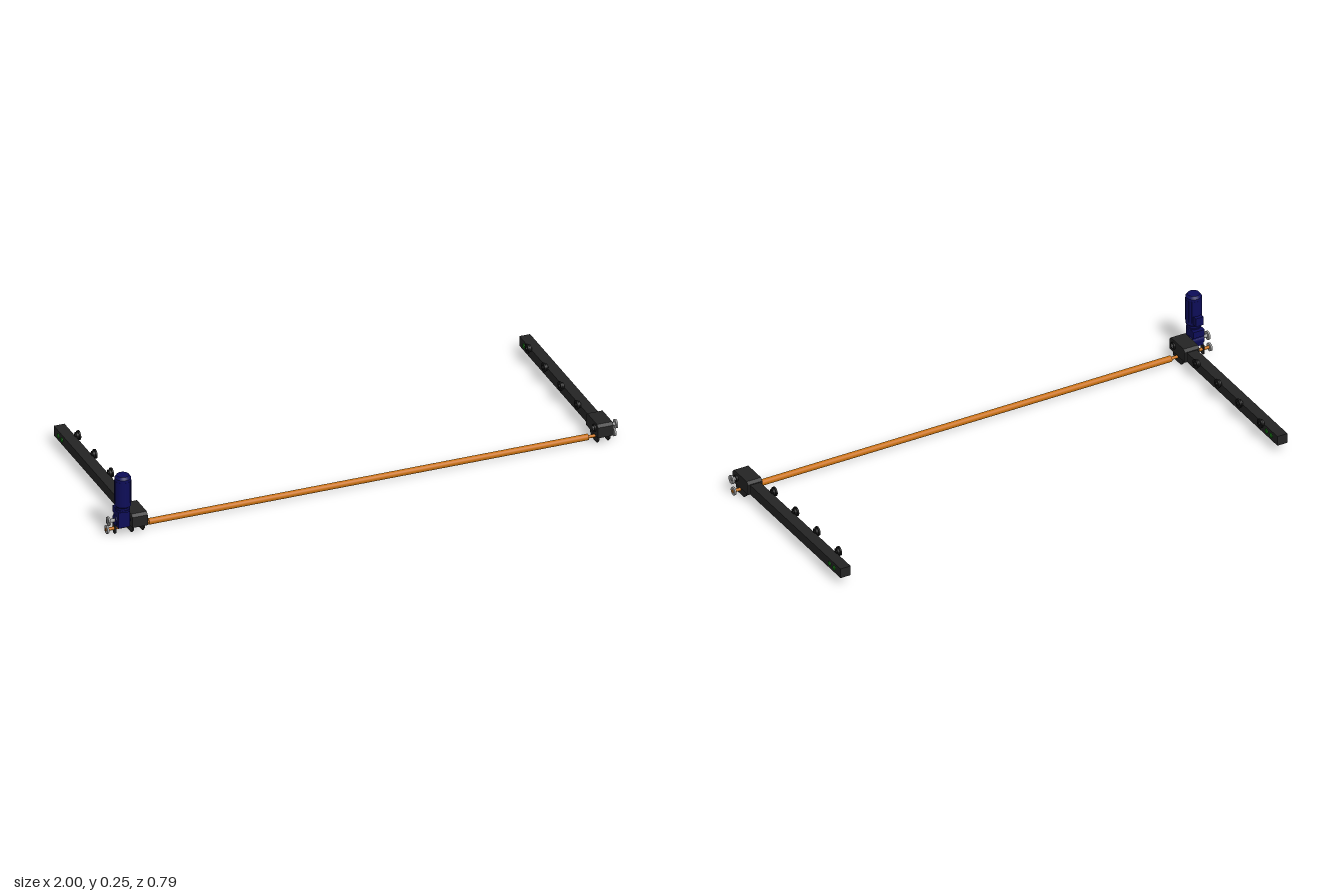
import * as THREE from 'three';

const paint = (color) => new THREE.MeshStandardMaterial({ color });
const dark = paint(0x242424), black = paint(0x141414), navy = paint(0x0d0d58);
const orange = paint(0xc8700f), green = paint(0x0f7d0f), steel = paint(0x999999);

function add(parent, name, geometry, material, x, y, z) {
  const mesh = new THREE.Mesh(geometry, material);
  mesh.name = name;
  mesh.position.set(x, y, z);
  parent.add(mesh);
  return mesh;
}

const box = (parent, name, mat, w, h, d, x, y, z) =>
  add(parent, name, new THREE.BoxGeometry(w, h, d), mat, x, y, z);

// Cylinder along x from x0 to x1
function rod(parent, name, mat, r, x0, x1, y, z, sides = 32) {
  const g = new THREE.CylinderGeometry(r, r, Math.abs(x1 - x0), sides).rotateZ(Math.PI / 2);
  return add(parent, name, g, mat, (x0 + x1) / 2, y, z);
}

// Plate drawn as [z, y] corners, extruded along x from x0 to x1
function plate(parent, name, mat, corners, x0, x1) {
  const shape = new THREE.Shape(corners.map(([z, y]) => new THREE.Vector2(-z, y)));
  const g = new THREE.ExtrudeGeometry(shape, { depth: x1 - x0, bevelEnabled: false });
  return add(parent, name, g.rotateY(Math.PI / 2), mat, x0, 0, 0);
}

const ROD_Y = 0.021, ROD_Z = 0.334, AXLE_Y = 0.062, AXLE_Z = 0.349;
const housing = [[0.267, 0.033], [0.267, 0.075], [0.277, 0.085], [0.37, 0.085],
  [0.38, 0.075], [0.38, 0.033]];
const hanger = [[0.29, 0.036], [0.29, 0.016], [0.307, 0.001], [0.352, 0.001],
  [0.366, 0.015], [0.366, 0.036]];

// One side arm; s points to its outer side, reach is how far the shafts stick out
function arm(name, cx, s, reach) {
  const g = new THREE.Group();
  g.name = name;
  g.position.x = cx;

  box(g, 'rail', dark, 0.042, 0.039, 0.67, 0, 0.0525, -0.058);

  // End housing with side cheeks and hanger plates for the rod
  plate(g, 'endHousing', dark, housing, -0.024, 0.024);
  for (const x of [-0.03, 0.024]) plate(g, 'housingCheek', dark, housing, x, x + 0.006);
  for (const x of [-0.024, 0.019]) plate(g, 'hangerPlate', dark, hanger, x, x + 0.005);

  // Guide rollers on the inner face
  for (const z of [0.183, 0.026, -0.13, -0.287]) {
    rod(g, 'rollerPin', black, 0.007, -s * 0.018, -s * 0.04, 0.075, z, 16);
    rod(g, 'rollerHub', black, 0.013, -s * 0.021, -s * 0.032, 0.075, z, 24);
    rod(g, 'rollerRim', black, 0.018, -s * 0.03, -s * 0.036, 0.075, z);
  }

  // Green buttons through the rear of the rail
  for (const z of [-0.314, -0.348]) rod(g, 'button', green, 0.009, -0.0235, 0.0235, 0.053, z);

  // Drive axle with end washer
  rod(g, 'driveAxle', steel, 0.007, -s * 0.036, s * reach, AXLE_Y, AXLE_Z);
  rod(g, 'axleWasher', steel, 0.017, s * (reach - 0.009), s * (reach - 0.002), AXLE_Y, AXLE_Z);
  rod(g, 'axleCap', black, 0.007, s * (reach - 0.003), s * reach, AXLE_Y, AXLE_Z);
  rod(g, 'axleCollar', black, 0.014, -s * 0.036, -s * 0.029, AXLE_Y, AXLE_Z);
  rod(g, 'outerCollar', black, 0.012, s * 0.029, s * 0.038, AXLE_Y, AXLE_Z);

  // Thin end of the cross rod with its washer
  rod(g, 'rodJournal', orange, 0.006, -s * 0.06, s * reach, ROD_Y, ROD_Z);
  rod(g, 'rodWasher', steel, 0.016, s * (reach - 0.009), s * (reach - 0.002), ROD_Y, ROD_Z);
  return g;
}

// Upright gear motor
function gearMotor() {
  const g = new THREE.Group();
  g.name = 'gearMotor';
  g.position.set(-0.944, 0, 0.363);
  const profile = [[0, 0.108], [0.024, 0.108], [0.024, 0.122], [0.03, 0.128], [0.03, 0.24],
    [0.023, 0.25], [0, 0.25]].map(([r, y]) => new THREE.Vector2(r, y));
  // Points are doubled so each band of the turned body keeps crisp edges
  const crisp = profile.flatMap((p, i) => (i ? [p.clone(), p.clone()] : [p]));
  for (let i = 0; i < crisp.length - 1; i += 2) {
    add(g, 'motorBody', new THREE.LatheGeometry([crisp[i], crisp[i + 1]], 32), navy, 0, 0, 0);
  }
  // Shallow cooling ribs
  for (let i = 0; i < 16; i++) {
    const a = (i / 16) * Math.PI * 2;
    const rib = box(g, 'coolingRib', navy, 0.003, 0.09, 0.003,
      Math.sin(a) * 0.0295, 0.185, Math.cos(a) * 0.0295);
    rib.rotation.y = a;
  }
  box(g, 'terminalBox', navy, 0.032, 0.034, 0.02, 0, 0.151, -0.034);
  add(g, 'mountFlange', new THREE.CylinderGeometry(0.027, 0.027, 0.008, 32), navy, 0, 0.11, 0);
  box(g, 'gearboxTop', navy, 0.046, 0.026, 0.056, 0, 0.097, -0.013);
  box(g, 'gearbox', navy, 0.046, 0.048, 0.046, 0, 0.064, -0.008);
  rod(g, 'gearboxBoss', navy, 0.02, -0.027, 0.027, AXLE_Y, AXLE_Z - 0.363);
  return g;
}

export function createModel() {
  const model = new THREE.Group();
  model.name = 'sideArmsWithCrossRod';
  model.add(arm('rightArm', -0.883, -1, 0.117));
  model.add(arm('leftArm', 0.943, 1, 0.057));
  model.add(gearMotor());

  // Long cross rod joining the arms
  rod(model, 'crossRod', orange, 0.012, -0.832, 0.892, ROD_Y, ROD_Z);
  plate(model, 'rodSupport', dark, [[0.322, 0.042], [0.322, 0.006], [0.328, 0.001],
    [0.341, 0.001], [0.347, 0.006], [0.347, 0.042]], -0.967, -0.963);
  return model;
}
